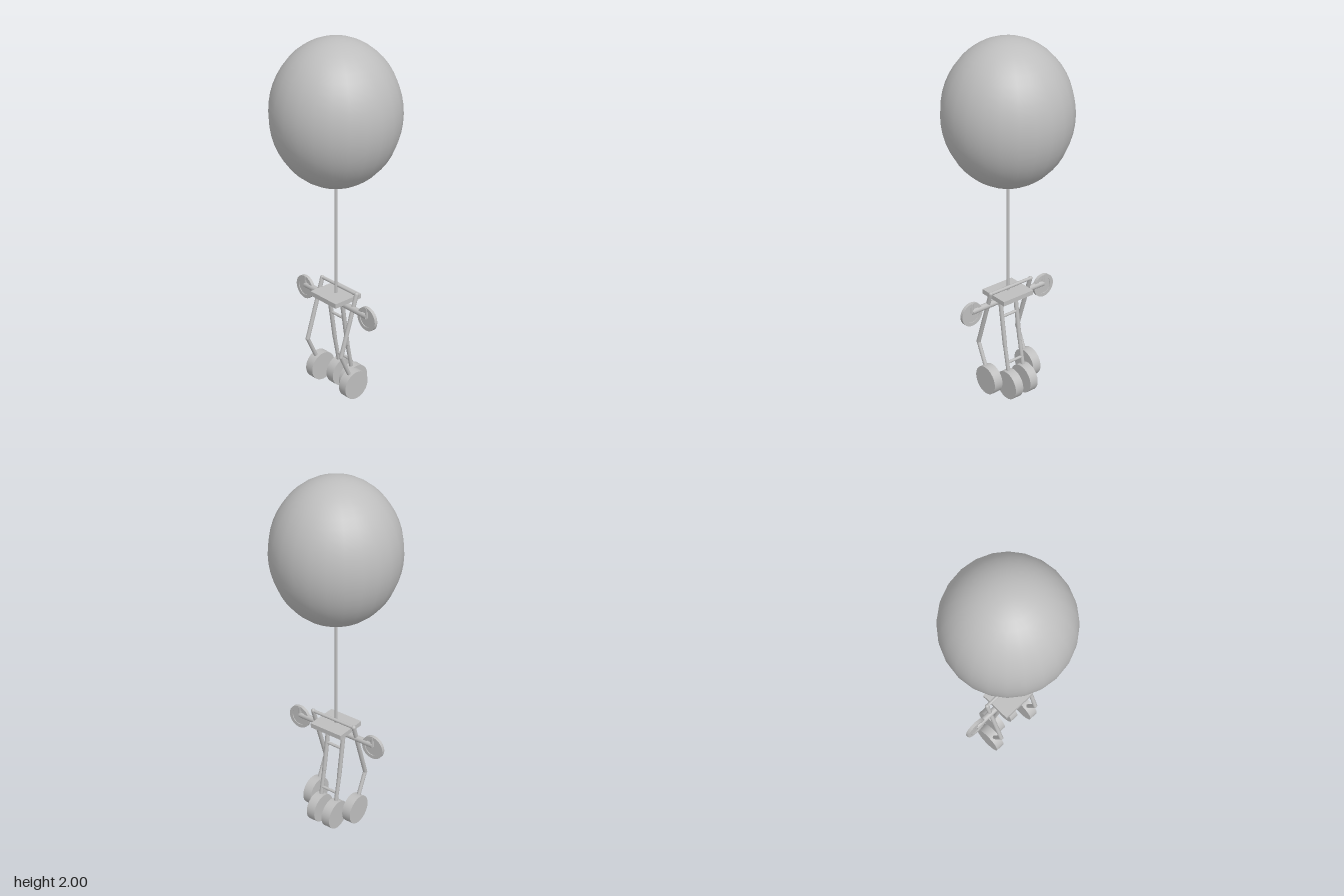
import * as THREE from 'three';

const grey = new THREE.MeshStandardMaterial({ color: 0xbebebe });
grey.name = 'light grey';

export function createModel() {
  const model = new THREE.Group();
  model.name = 'balloonWalker';

  const add = (name, geometry, x = 0, y = 0, z = 0) => {
    const mesh = new THREE.Mesh(geometry, grey);
    mesh.name = name;
    mesh.position.set(x, y, z);
    model.add(mesh);
    return mesh;
  };

  // Round rod between two points
  const rod = (name, a, b, radius) => {
    const from = new THREE.Vector3(...a), to = new THREE.Vector3(...b);
    const dir = to.clone().sub(from);
    const mesh = add(name, new THREE.CylinderGeometry(radius, radius, dir.length(), 12));
    mesh.position.copy(from).add(to).multiplyScalar(0.5);
    mesh.quaternion.setFromUnitVectors(new THREE.Vector3(0, 1, 0), dir.normalize());
  };

  // Jointed leg: rods meeting in a ball at the knee, ending in a drum foot
  const leg = (name, points, z, radius) => {
    const [hip, knee, foot] = points.map(([x, y]) => [x, y, z]);
    rod(name + 'Upper', hip, knee, radius);
    rod(name + 'Lower', knee, foot, radius * 0.9);
    add(name + 'Knee', new THREE.SphereGeometry(radius, 12, 8), ...knee);
    add(name + 'Hip', new THREE.SphereGeometry(radius, 12, 8), ...hip);
    add(name + 'Foot', new THREE.CylinderGeometry(0.081, 0.081, 0.052, 32), ...foot).rotation.x = Math.PI / 2;
  };

  // Balloon and string
  add('balloon', new THREE.SphereGeometry(0.337, 24, 24), 0, 1.614, 0).scale.y = 0.386 / 0.337;
  rod('string', [0, 0.6, 0], [0, 1.24, 0], 0.008);

  // Platform and axle
  add('platform', new THREE.BoxGeometry(0.18, 0.026, 0.2), 0, 0.597, 0);
  rod('axle', [0, 0.565, -0.245], [0, 0.565, 0.245], 0.017);

  // Wheel section: thick rim around a recessed web
  const profile = [[0, -0.005], [0.046, -0.005], [0.046, -0.009], [0.066, -0.009],
    [0.066, 0.009], [0.046, 0.009], [0.046, 0.005], [0, 0.005]];
  const wheelGeometry = () => {
    const smooth = new THREE.LatheGeometry(profile.map(p => new THREE.Vector2(...p)), 32);
    const sharp = smooth.toNonIndexed();
    sharp.computeVertexNormals();
    return sharp;
  };

  for (const s of [-1, 1]) {
    // End wheels with a short upright peg
    add('endWheel', wheelGeometry(), 0, 0.552, s * 0.245).rotation.z = Math.PI / 2;
    rod('endPeg', [0, 0.56, s * 0.243], [0, 0.613, s * 0.243], 0.012);

    // Outer and inner legs
    leg('outerLeg', [[0.024, 0.642], [-0.083, 0.305], [0.006, 0.11]], s * 0.135, 0.012);
    leg('innerLeg', [[0, 0.565], [0.038, 0.305], [0.081, 0.081]], s * 0.051, 0.012);
  }

  // Cross bars tying the legs together
  rod('outerCrossBar', [0.024, 0.642, -0.135], [0.024, 0.642, 0.135], 0.009);
  rod('innerUpperCrossBar', [0.014, 0.47, -0.051], [0.014, 0.47, 0.051], 0.008);
  rod('innerLowerCrossBar', [0.058, 0.203, -0.051], [0.058, 0.203, 0.051], 0.008);

  return model;
}
